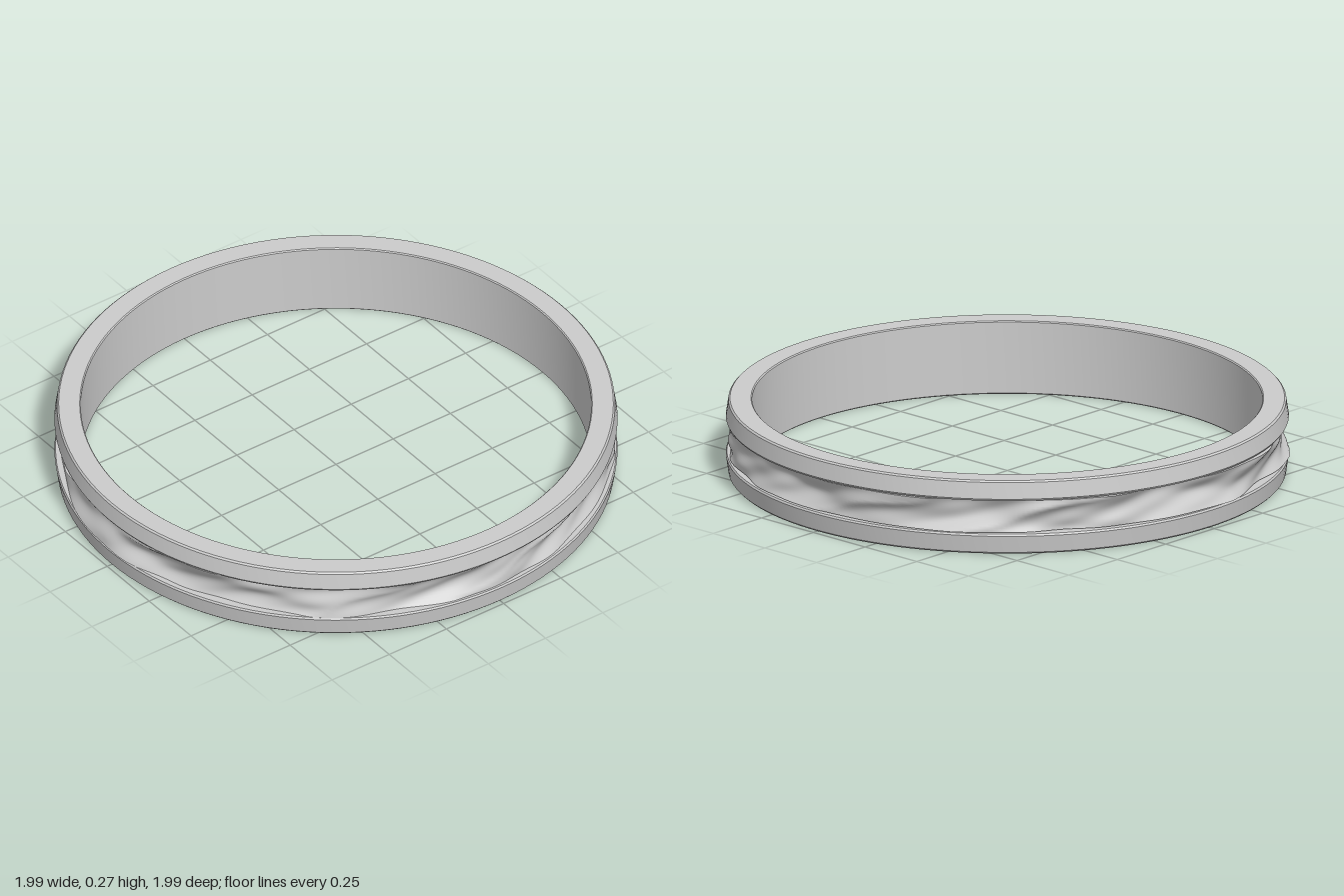
import * as THREE from 'three';
import { mergeVertices, toCreasedNormals } from 'three/addons/utils/BufferGeometryUtils.js';

const material = new THREE.MeshStandardMaterial({ color: 0xcccccc });

function addMesh(group, name, geometry) {
  const mesh = new THREE.Mesh(geometry, material);
  mesh.name = name;
  group.add(mesh);
}

function lathe(points, segments) {
  return new THREE.LatheGeometry(points.map(([r, y]) => new THREE.Vector2(r, y)), segments);
}

// Height of the hammered relief, about -1 to 1, periodic around the ring; v runs -1 to 1 across it
function relief(a, v) {
  const warp = a + 0.12 * Math.sin(3 * a + 1.5 * v) + 0.06 * Math.sin(8 * a - 2 * v);
  const ridge = 1 - 2 * Math.abs(Math.sin(4 * warp + 0.8 * v + 0.5));
  const swell = Math.sin(7 * warp - 1.4 * v + 2);
  const ripple = Math.sin(17 * a + 2.6 * v + Math.sin(5 * a)) * Math.cos(2.2 * v + 4 * a);
  return 0.4 * ridge + 0.35 * swell + 0.25 * ripple;
}

export function createModel() {
  const group = new THREE.Group();
  group.name = 'ring';

  // Plain ring with two rims and a channel between them
  const body = lathe([
    [0.9, 0.004], [0.904, 0], [0.978, 0], [0.984, 0.006],
    [0.993, 0.068], [0.989, 0.075], [0.935, 0.075],
    [0.935, 0.198], [0.989, 0.198], [0.993, 0.205],
    [0.984, 0.264], [0.978, 0.27], [0.904, 0.27], [0.9, 0.266], [0.9, 0.004],
  ], 128);
  addMesh(group, 'ringBody', toCreasedNormals(body, 0.5));

  // Hammered band filling the channel
  const rows = 16, y0 = 0.078, y1 = 0.195;
  const profile = [];
  for (let i = 0; i <= rows; i++) profile.push([0.97, y0 + (y1 - y0) * i / rows]);
  let band = lathe(profile, 360);
  const pos = band.attributes.position;
  for (let i = 0; i < pos.count; i++) {
    const x = pos.getX(i), y = pos.getY(i), z = pos.getZ(i);
    const a = Math.atan2(z, x);
    const v = 2 * (y - y0) / (y1 - y0) - 1;
    // Slightly hollow across the middle, lifted toward the rims
    const r = Math.min(1, 0.967 + 0.014 * v * v + 0.024 * relief(a, v));
    pos.setXYZ(i, r * Math.cos(a), y, r * Math.sin(a));
  }
  band.deleteAttribute('uv');
  band.deleteAttribute('normal');
  band = mergeVertices(band, 1e-4);
  band.computeVertexNormals();
  addMesh(group, 'hammeredBand', band);

  // Thin walls closing the band's edges against the channel
  [[y0, 1], [y1, -1]].forEach(([y, side]) => {
    const v = side > 0 ? -1 : 1;
    const wall = lathe(side > 0 ? [[0.935, y], [1, y]] : [[1, y], [0.935, y]], 360);
    const p = wall.attributes.position;
    for (let i = 0; i < p.count; i++) {
      const a = Math.atan2(p.getZ(i), p.getX(i));
      const outer = Math.hypot(p.getX(i), p.getZ(i)) > 0.97;
      const r = outer ? Math.min(1, 0.981 + 0.024 * relief(a, v)) : 0.935;
      p.setXYZ(i, r * Math.cos(a), y, r * Math.sin(a));
    }
    wall.computeVertexNormals();
    addMesh(group, side > 0 ? 'bandLowerEdge' : 'bandUpperEdge', wall);
  });

  return group;
}
